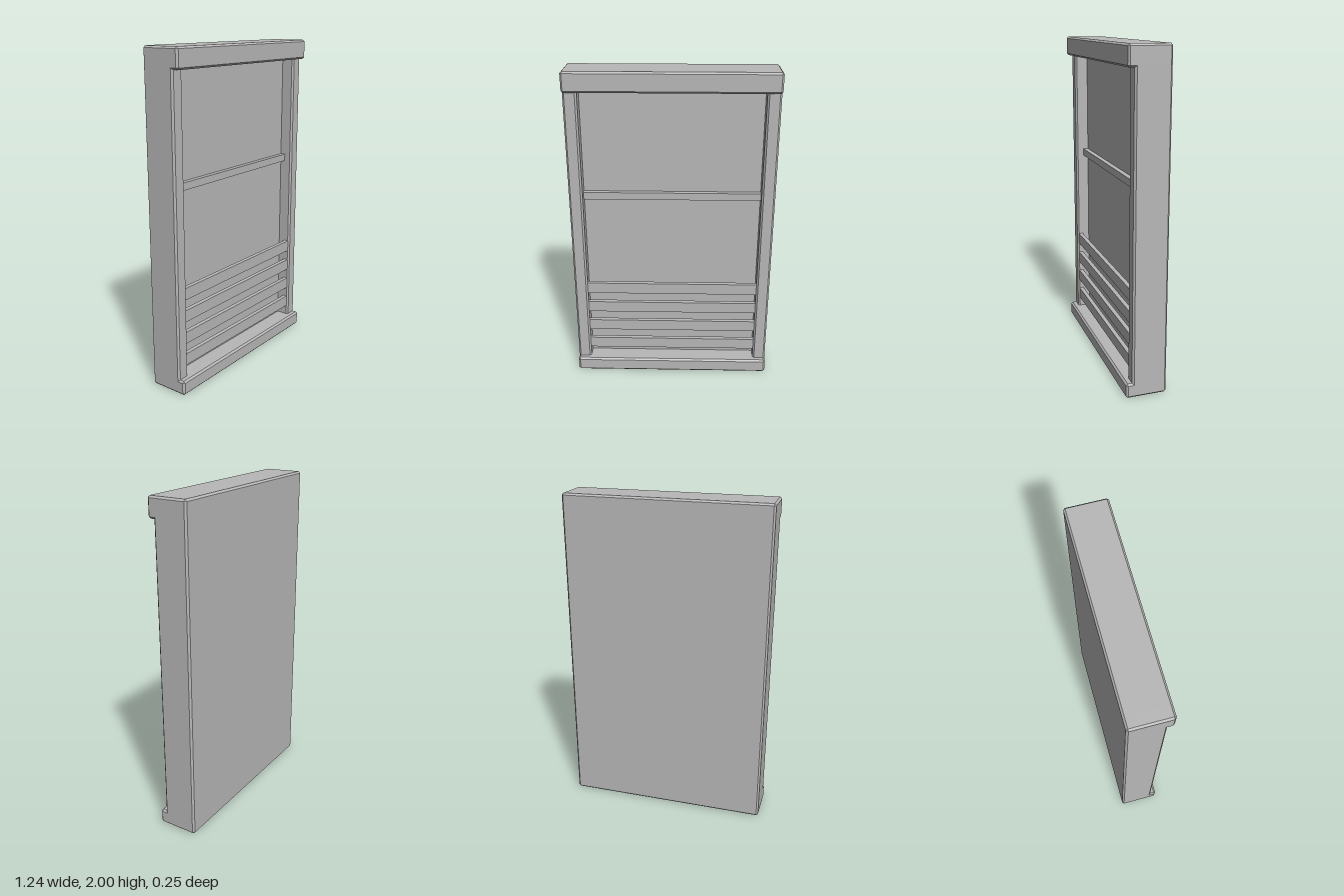
import * as THREE from 'three';
import { ConvexGeometry } from 'three/addons/geometries/ConvexGeometry.js';

// Box between two corners with flat chamfers of size c on every edge.
function chamferBox(x0, x1, y0, y1, z0, z1, c) {
  const half = [(x1 - x0) / 2, (y1 - y0) / 2, (z1 - z0) / 2];
  const points = [];
  for (const sx of [-1, 1]) for (const sy of [-1, 1]) for (const sz of [-1, 1]) {
    for (let axis = 0; axis < 3; axis++) {
      const p = half.map((h, i) => (i === axis ? h : h - c));
      points.push(new THREE.Vector3(p[0] * sx, p[1] * sy, p[2] * sz));
    }
  }
  return new ConvexGeometry(points).translate((x0 + x1) / 2, (y0 + y1) / 2, (z0 + z1) / 2);
}

function plainBox(x0, x1, y0, y1, z0, z1) {
  return new THREE.BoxGeometry(x1 - x0, y1 - y0, z1 - z0)
    .translate((x0 + x1) / 2, (y0 + y1) / 2, (z0 + z1) / 2);
}

export function createModel() {
  const grey = new THREE.MeshStandardMaterial({ color: 0xb8b8b8 });
  grey.name = 'grey';
  const model = new THREE.Group();
  model.name = 'panelledFrame';
  const add = (name, geometry) => {
    const mesh = new THREE.Mesh(geometry, grey);
    mesh.name = name;
    model.add(mesh);
  };

  const W = 0.622, D = 0.123, inner = 0.54, bevel = 0.011;

  // Recessed back panel
  add('backPanel', chamferBox(-0.6, 0.6, 0, 2, -D, 0.005, bevel));

  // Upright stiles, set back from the rails
  add('leftStile', chamferBox(inner, W, 0, 2, -D, 0.086, bevel));
  add('rightStile', chamferBox(-W, -inner, 0, 2, -D, 0.086, bevel));

  // Projecting top and bottom rails
  add('topRail', chamferBox(-W, W, 1.88, 2, -D, D, bevel));
  add('bottomRail', chamferBox(-W, W, 0, 0.09, -D, D, bevel));

  // Middle bar against the panel
  add('middleBar', plainBox(-inner, inner, 1.205, 1.25, 0, 0.036));

  // Thin slats standing clear of the panel
  for (let i = 0; i < 4; i++) {
    const y = 0.155 + i * 0.138;
    add('slat' + (i + 1), plainBox(-inner, inner, y, y + 0.072, 0.05, 0.077));
  }
  return model;
}
